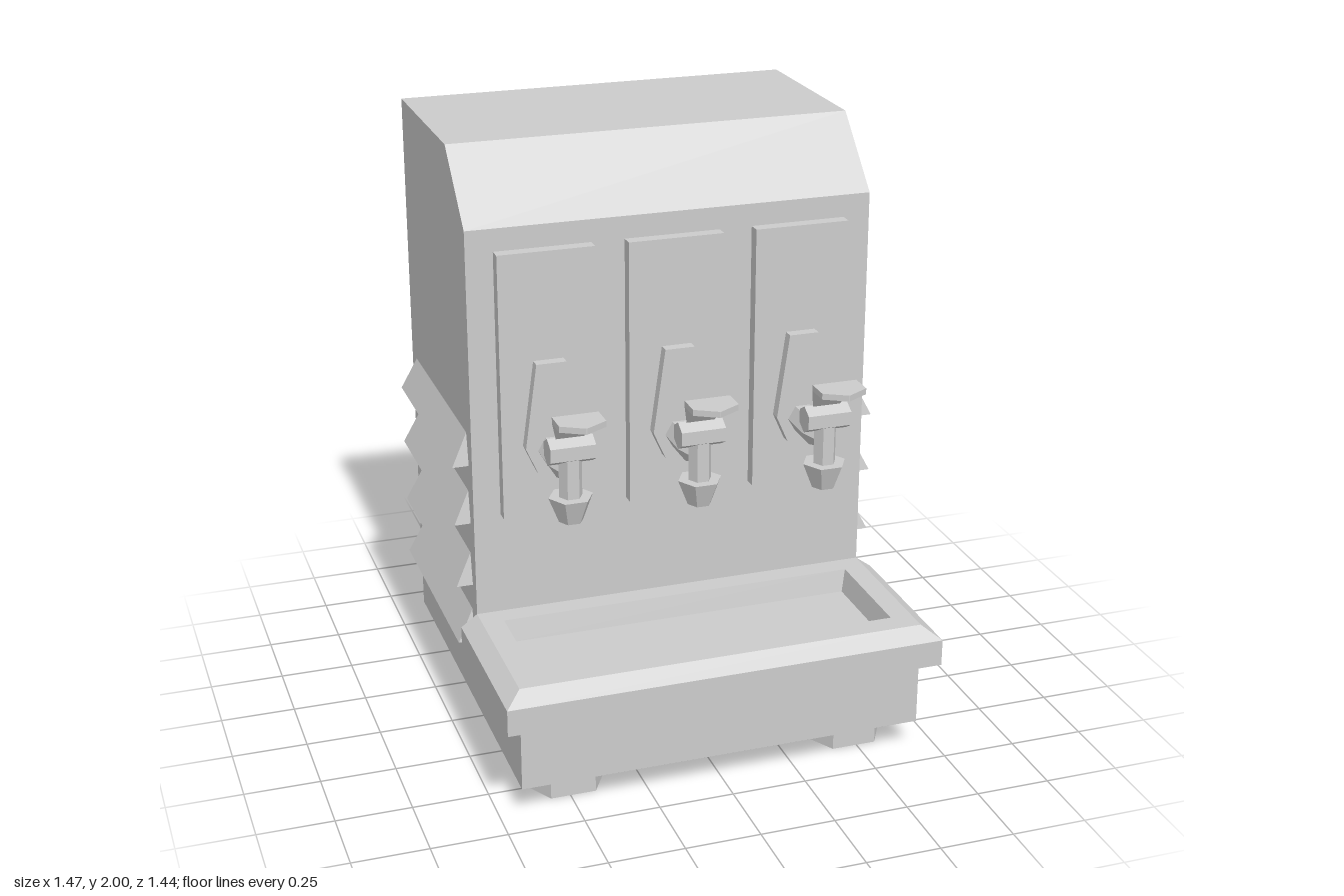
import * as THREE from 'three';
import { ConvexGeometry } from 'three/addons/geometries/ConvexGeometry.js';

const grey = new THREE.MeshStandardMaterial({ color: 0xcccccc, flatShading: true });

function add(parent, name, geometry, x = 0, y = 0, z = 0) {
  const mesh = new THREE.Mesh(geometry, grey);
  mesh.name = name;
  mesh.position.set(x, y, z);
  parent.add(mesh);
  return mesh;
}

const polygon = (pts) => new THREE.Shape(pts.map(([x, y]) => new THREE.Vector2(x, y)));
const hull = (pts) => new ConvexGeometry(pts.map((p) => new THREE.Vector3(...p)));

// Hexagonal prism along y with two corners on the x axis
const hex = (rTop, rBottom, h) => new THREE.CylinderGeometry(rTop, rBottom, h, 6).rotateY(Math.PI / 2);

// Slab of constant thickness between two cross-sections [z, y, halfWidth]
function slab(sections, t) {
  return hull(sections.flatMap(([z, y, w]) => [[-w, y, z], [w, y, z], [-w, y + t, z], [w, y + t, z]]));
}

// Tray: rectangular loops joined from the underside, over the rim, down to the basin floor
function trayGeometry() {
  const loops = [ // y, half width, back z, front z
    [0.33, 0.735, 0.13, 0.72],
    [0.42, 0.735, 0.13, 0.72],
    [0.46, 0.68, 0.13, 0.665],
    [0.46, 0.607, 0.203, 0.588],
    [0.385, 0.59, 0.22, 0.571],
  ].map(([y, w, b, f]) => [[-w, y, f], [w, y, f], [w, y, b], [-w, y, b]]);
  const pos = [];
  const quad = (a, b, c, d) => pos.push(...a, ...b, ...c, ...a, ...c, ...d);
  for (let i = 0; i < loops.length - 1; i++) {
    for (let k = 0; k < 4; k++) {
      const n = (k + 1) % 4;
      quad(loops[i][k], loops[i][n], loops[i + 1][n], loops[i + 1][k]);
    }
  }
  quad(...loops[loops.length - 1]);
  quad(...[...loops[0]].reverse());
  const g = new THREE.BufferGeometry();
  g.setAttribute('position', new THREE.Float32BufferAttribute(pos, 3));
  g.computeVertexNormals();
  return g;
}

function createTap() {
  const tap = new THREE.Group();
  tap.name = 'tap';
  add(tap, 'panel', new THREE.BoxGeometry(0.32, 0.895, 0.05), 0, 1.2575, 0.148);

  // Tapered mounting plate
  const plate = polygon([[-0.05, 0.97], [0.05, 0.97], [0.09, 1.06], [0.05, 1.345], [-0.05, 1.345], [-0.09, 1.06]]);
  add(tap, 'mountingPlate', new THREE.ExtrudeGeometry(plate, { depth: 0.04, bevelEnabled: false }), 0, 0, 0.17);

  // Horizontal pipe narrowing into the vertical spout
  add(tap, 'pipe', hex(0.05, 0.05, 0.14).rotateX(Math.PI / 2), 0, 1.05, 0.265);
  add(tap, 'pipeEnd', hex(0.032, 0.05, 0.06).rotateX(Math.PI / 2), 0, 1.05, 0.365);
  add(tap, 'spout', hex(0.038, 0.038, 0.18), 0, 1.05, 0.405);
  add(tap, 'nozzle', hex(0.073, 0.04, 0.085), 0, 0.9275, 0.405);

  // Pivot block and bent lever
  add(tap, 'pivot', new THREE.CylinderGeometry(0.045, 0.045, 0.148, 6).rotateX(Math.PI / 2).rotateZ(Math.PI / 2)
    .rotateX(0), 0, 1.127, 0.405).geometry = pivotGeometry();
  add(tap, 'leverArm', slab([[0.395, 1.15, 0.04], [0.47, 1.25, 0.075]], 0.02));
  add(tap, 'leverHandle', slab([[0.47, 1.25, 0.075], [0.55, 1.25, 0.075], [0.592, 1.25, 0.002]], 0.02));
  return tap;
}

// Hexagonal prism along x with a corner pointing up
function pivotGeometry() {
  const pts = [];
  for (let i = 0; i < 6; i++) {
    const a = (i * Math.PI) / 3;
    for (const x of [-0.074, 0.074]) pts.push([x, 0.045 * Math.cos(a), 0.045 * Math.sin(a)]);
  }
  return hull(pts);
}

export function createModel() {
  const model = new THREE.Group();
  model.name = 'drinkDispenser';

  // Cabinet: side profile (z, y) extruded across the width
  const profile = polygon([[-0.72, 0.1], [0.665, 0.1], [0.665, 0.33], [0.13, 0.33], [0.13, 1.78], [-0.09, 2], [-0.72, 2]]);
  const cabinet = new THREE.ExtrudeGeometry(profile, { depth: 1.36, bevelEnabled: false });
  add(model, 'cabinet', cabinet.translate(0, 0, -0.68).rotateY(-Math.PI / 2));

  add(model, 'dripTray', trayGeometry());

  for (const x of [-0.43, 0, 0.43]) {
    const tap = createTap();
    tap.position.x = x;
    model.add(tap);
  }

  for (const s of [-1, 1]) {
    // Feet
    for (const z of [0.46, -0.54]) add(model, 'foot', hex(0.15, 0.15, 0.1), s * 0.49, 0.05, z);

    // Side louvres: wedges with slanted ends
    for (const y of [0.34, 0.77 - 0.223, 0.77, 0.975]) {
      add(model, 'louvre', hull([0.085, -0.675].flatMap((z, i) => [
        [s * 0.67, y, z], [s * 0.735, y, z],
        [s * 0.68, y + 0.11, z + (i ? 0.02 : -0.02)], [s * 0.67, y + 0.11, z + (i ? 0.02 : -0.02)],
      ])));
    }
  }
  return model;
}
